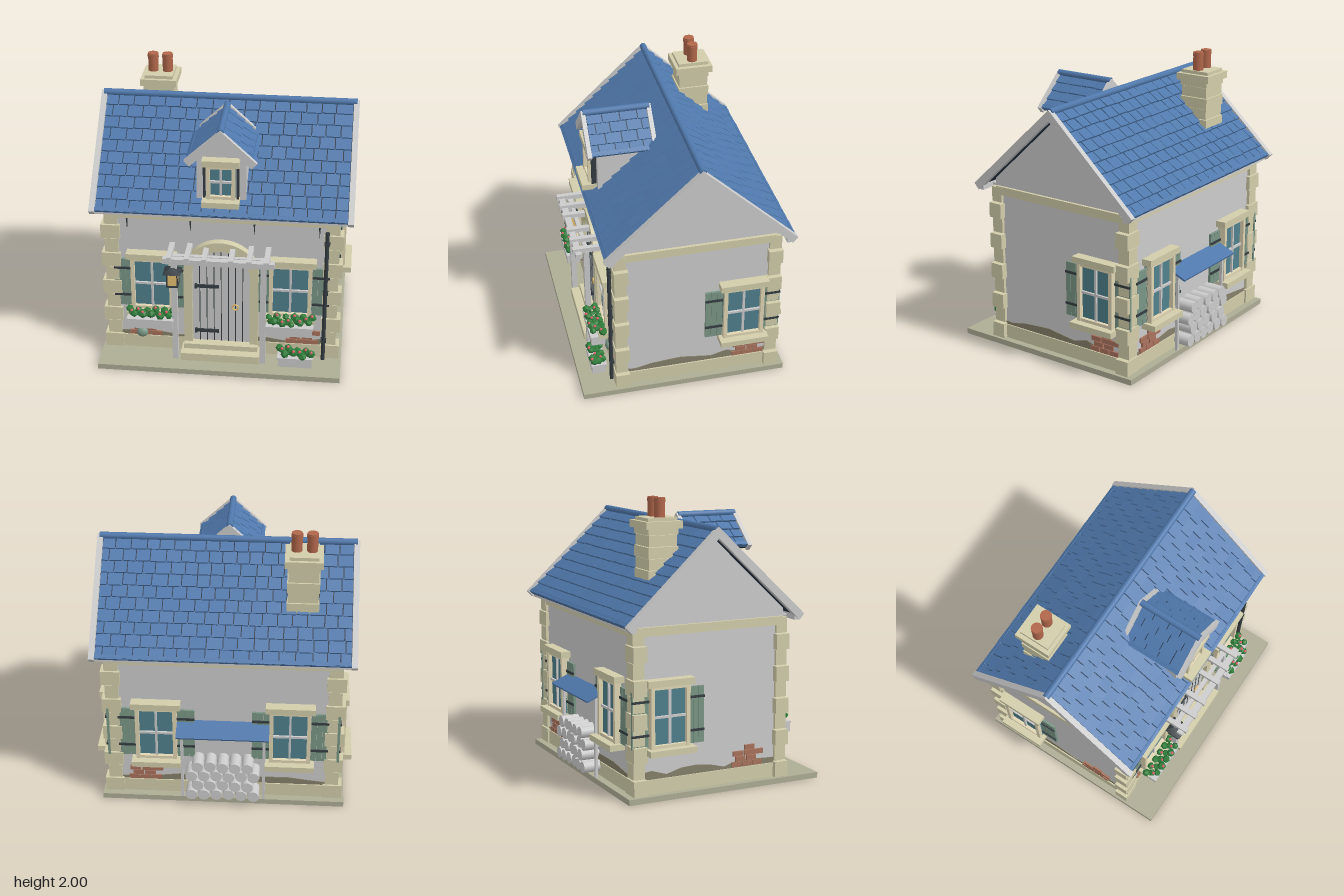
import * as THREE from 'three';
import { mergeGeometries } from 'three/addons/utils/BufferGeometryUtils.js';

const GREY = 0xcccccc, STONE = 0xd2cdaa, SLAB = 0xaeac94, BLUE = 0x4f78ab, NAVY = 0x263344, GLASS = 0x4f808c;
const FRAME = 0xe0d6b4, GREEN = 0x7a9686, DARK = 0x343c40, BRICK = 0xa8725c, POT = 0xb0664a, DIRT = 0x85806a;
const LEAF = 0x2f7d3a, RED = 0xd8606a, LAMP = 0xe6c070;
const WALL_X = 0.8, FRONT = 0.5, BACK = -0.63, MID = -0.065;

let seed = 7;
const rnd = () => ((seed = (seed * 16807) % 2147483647) / 2147483647);
const mats = {};
const mat = (c) => (mats[c] ??= new THREE.MeshStandardMaterial({ color: c }));

function add(parent, name, geo, color, x = 0, y = 0, z = 0) {
  const m = new THREE.Mesh(geo, mat(color));
  m.name = name;
  m.position.set(x, y, z);
  parent.add(m);
  return m;
}
const box = (p, name, c, w, h, d, x, y, z) => add(p, name, new THREE.BoxGeometry(w, h, d), c, x, y, z);
// Box given by its limits on each axis
const span = (p, name, c, x0, x1, y0, y1, z0, z1) =>
  box(p, name, c, x1 - x0, y1 - y0, z1 - z0, (x0 + x1) / 2, (y0 + y1) / 2, (z0 + z1) / 2);
const cyl = (p, name, c, r, h, x, y, z, n = 16) => add(p, name, new THREE.CylinderGeometry(r, r, h, n), c, x, y, z);
function group(parent, name, x = 0, y = 0, z = 0, ry = 0) {
  const g = new THREE.Group();
  g.name = name;
  g.position.set(x, y, z);
  g.rotation.y = ry;
  parent.add(g);
  return g;
}
const polygon = (pts) => new THREE.Shape(pts.map(([x, y]) => new THREE.Vector2(x, y)));
const extrude = (shape, depth) => new THREE.ExtrudeGeometry(shape, { depth, bevelEnabled: false, curveSegments: 16 });

// Gabled roof, ridge along local x, centred on the ridge at its origin
function roof(parent, name, half, run, drop, rows, cols, trim, x, y, z, ry) {
  const g = group(parent, name, x, y, z, ry);
  const len = Math.hypot(run, drop), pitch = len / rows, w = (2 * half) / cols;
  for (const turn of [0, Math.PI]) {
    const side = group(g, 'roofSide', 0, 0, 0, turn);
    const slope = group(side, 'slope');
    slope.rotation.x = Math.atan2(drop, run);
    box(slope, 'roofDeck', NAVY, 2 * half, 0.022, len, 0, -0.02, len / 2);
    const tiles = [];
    for (let r = 0; r < rows; r++) {
      let x0 = -half;
      for (let i = 0; x0 < half - 0.005; i++) {
        const wide = i === 0 && r % 2 ? w / 2 : w * (0.85 + 0.3 * rnd());
        const x1 = half - x0 - wide < w * 0.3 ? half : x0 + wide;
        const t = new THREE.BoxGeometry(x1 - x0 - 0.007, 0.014, pitch * (1.04 + 0.1 * rnd()));
        t.rotateZ((rnd() - 0.5) * 0.06).rotateX(-0.14 - 0.05 * rnd());
        tiles.push(t.translate((x0 + x1) / 2, 0.002, (r + 0.5) * pitch));
        x0 = x1;
      }
    }
    add(slope, 'roofTiles', mergeGeometries(tiles), BLUE);
    box(slope, 'eaveStrip', BLUE, 2 * (half + trim * 0.5), 0.03, 0.03, 0, 0, len - 0.01);
    for (const s of [-1, 1]) box(slope, 'bargeBoard', GREY, trim, 0.055, len + 0.03, s * (half + trim / 2), -0.01, len / 2);
  }
  cyl(g, 'ridgeRoll', BLUE, 0.024, 2 * (half + trim * 0.6), 0, 0.008, 0, 12).rotation.z = Math.PI / 2;
}

// Window with its base at the origin, facing local +z
function windowUnit(parent, name, w, h, shutters, x, y, z, ry) {
  const g = group(parent, name, x, y, z, ry), a = w / 2, f = 0.027, d = 0.06;
  span(g, 'glass', GLASS, -a, a, 0, h, 0, 0.03);
  for (const s of [-1, 1]) {
    box(g, 'windowJamb', FRAME, f, h, d, s * (a - f / 2), h / 2, d / 2);
    box(g, 'windowRail', FRAME, w - 2 * f, f * 0.8, d - 0.008, 0, s < 0 ? f * 0.4 : h - f * 0.4, d / 2);
  }
  box(g, 'mullion', GREY, 0.016, h, 0.02, 0, h / 2, 0.035);
  box(g, 'crossBar', GREY, w - 2 * f, 0.016, 0.02, 0, h / 2, 0.035);
  span(g, 'lintel', STONE, -a - 0.028, a + 0.028, h, h + 0.045, -0.02, 0.075);
  span(g, 'sill', STONE, -a - 0.028, a + 0.028, -0.042, 0, -0.02, 0.11);
  if (!shutters) return;
  for (const s of [-1, 1]) {
    const sh = group(g, 'shutter', s * (a + 0.062), 0, 0);
    for (const i of [-1, 0, 1]) box(sh, 'shutterBoard', GREEN, 0.039, h - 0.03, 0.018, i * 0.041, h / 2 - 0.015, 0.01);
    for (const v of [0.09, h - 0.1]) box(sh, 'shutterStrap', DARK, 0.124, 0.016, 0.012, 0, v, 0.022);
  }
}

// Trough filled with leaves and blossoms
function planter(parent, name, x, y, z, w) {
  const g = group(parent, name, x, y, z), leaves = [], blooms = [];
  box(g, 'trough', GREY, w, 0.075, 0.1, 0, 0.0375, 0);
  box(g, 'troughRim', GREY, w + 0.015, 0.014, 0.112, 0, 0.07, 0);
  const n = Math.round(w / 0.02);
  for (let i = 0; i < n; i++) {
    const px = (i / (n - 1) - 0.5) * (w - 0.01), pz = (i % 3 - 1) * 0.034;
    const r = 0.024 + rnd() * 0.01, py = 0.085 + rnd() * 0.032;
    leaves.push(new THREE.IcosahedronGeometry(r, 0).rotateY(rnd() * 3).translate(px, py, pz));
    if (i % 2) blooms.push(new THREE.IcosahedronGeometry(0.011, 1).translate(px, py + r * 0.7, pz + 0.014));
  }
  add(g, 'leaves', mergeGeometries(leaves), LEAF);
  add(g, 'blossoms', mergeGeometries(blooms), RED);
}

// Bricks showing through the plaster, centred on the origin's foot
function brickPatch(parent, x, z, ry) {
  const g = group(parent, 'brickPatch', x, 0.145, z, ry);
  [[-0.08, 0, 0.08], [-0.05, 0.035], [-0.07, 0.015, 0.09], [0.02]].forEach((row, r) =>
    row.forEach((u) => box(g, 'brick', BRICK, 0.075, 0.034, 0.02, u, 0.017 + r * 0.038, 0.004)));
}

// Jagged stain along the foot of a wall
function stain(parent, w, x, z, ry) {
  const pts = [[-w / 2, 0], [w / 2, 0]];
  for (let i = 0; i <= 10; i++) pts.push([w / 2 - (i * w) / 10, 0.02 + rnd() * 0.045]);
  add(group(parent, 'wallStain', x, 0.135, z, ry), 'stain', extrude(polygon(pts), 0.006), DIRT);
}

function archShape(a, y0, spring, rise) {
  const s = new THREE.Shape();
  s.moveTo(-a, y0).lineTo(a, y0).lineTo(a, spring);
  s.absellipse(0, spring, a, rise, 0, Math.PI, false, 0);
  return s.lineTo(-a, y0);
}

export function createModel() {
  const house = new THREE.Group();
  house.name = 'cottage';
  const P = Math.PI;

  // Ground slab, plinth and gabled walls
  span(house, 'groundSlab', SLAB, -0.865, 0.865, 0, 0.04, -0.7, 0.765);
  span(house, 'plinth', STONE, -0.815, 0.815, 0.04, 0.14, BACK - 0.014, FRONT + 0.014);
  const walls = add(house, 'walls', extrude(polygon([[BACK, 0.04], [FRONT, 0.04], [FRONT, 1.23], [MID, 1.755], [BACK, 1.23]]), 2 * WALL_X), GREY, WALL_X);
  walls.rotation.y = -P / 2;

  // Corner stones
  for (const sx of [-1, 1]) for (const sz of [-1, 1]) for (let i = 0; i < 10; i++) {
    const long = i % 2 === 0, h = 0.113;
    const w = (long ? 0.135 : 0.095), d = long ? 0.1 : 0.085;
    box(house, 'cornerStone', STONE, w, h - 0.006, d, sx * ((long ? 0.848 : 0.822) - w / 2), 0.04 + (i + 0.5) * h, MID + sz * ((long ? 0.592 : 0.586) - d / 2));
  }

  // Bands below the eaves and gables
  for (const s of [-1, 1]) {
    box(house, 'wallBand', STONE, 1.62, 0.04, 0.03, 0, 1.135, MID + s * 0.57);
    box(house, 'gableBand', STONE, 0.03, 0.06, 1.1, s * 0.805, 1.145, MID);
    box(house, 'fascia', GREY, 1.8, 0.045, 0.03, 0, 1.18, MID + s * 0.61);
    box(house, 'soffit', GREY, 1.6, 0.015, 0.08, 0, 1.18, MID + s * 0.58);
  }
  for (const x of [-0.66, -0.215, 0.23, 0.68])
    add(house, 'eaveSpike', new THREE.ConeGeometry(0.008, 0.11, 6), DARK, x, 1.07, FRONT + 0.012).rotation.x = P;
  roof(house, 'mainRoof', 0.87, 0.645, 0.6, 10, 17, 0.04, 0, 1.795, MID, 0);

  // Dormer
  const dormer = group(house, 'dormer');
  add(dormer, 'dormerWalls', extrude(polygon([[-0.17, 1.27], [0.17, 1.27], [0.17, 1.62], [0, 1.775], [-0.17, 1.62]]), 0.4), GREY, 0, 0, 0.095);
  roof(dormer, 'dormerRoof', 0.215, 0.225, 0.21, 4, 4, 0.03, 0, 1.81, 0.325, P / 2);
  windowUnit(dormer, 'dormerWindow', 0.2, 0.25, false, 0, 1.31, 0.49, 0);
  for (const s of [-1, 1]) box(dormer, 'dormerCorner', DARK, 0.015, 0.25, 0.04, s * 0.115, 1.435, 0.51);

  // Chimney
  const ch = group(house, 'chimney', -0.53, 0, -0.338);
  for (let i = 0; i < 5; i++) {
    const w = i % 2 ? 0.208 : 0.222;
    box(ch, 'chimneyCourse', STONE, w, 0.075, w, 0, 1.48 + i * 0.078, 0);
  }
  span(ch, 'chimneyCollar', STONE, -0.13, 0.13, 1.795, 1.845, -0.135, 0.135);
  span(ch, 'chimneyCap', STONE, -0.1, 0.1, 1.845, 1.868, -0.11, 0.11);
  for (const s of [-1, 1]) {
    cyl(ch, 'chimneyPot', POT, 0.037, 0.132, s * 0.052, 1.934, 0, 20);
    cyl(ch, 'potRim', POT, 0.04, 0.02, s * 0.052, 1.98, 0, 20);
  }

  // Windows, bricks and stains on every wall
  for (const s of [-1, 1]) {
    windowUnit(house, 'frontWindow', 0.3, 0.41, true, s * 0.49, 0.4, FRONT, 0);
    windowUnit(house, 'backWindow', 0.29, 0.42, true, s * 0.47, 0.36, BACK, P);
    windowUnit(house, 'sideWindow', 0.29, 0.42, true, s * WALL_X, 0.36, -0.39, s * P / 2);
    stain(house, 1.1, s * WALL_X, MID, s * P / 2);
  }
  stain(house, 1.56, 0, FRONT, 0);
  stain(house, 1.56, 0, BACK, P);
  brickPatch(house, -0.55, FRONT, 0);
  brickPatch(house, 0.58, FRONT, 0);
  brickPatch(house, 0.56, BACK, P);
  brickPatch(house, WALL_X, -0.44, P / 2);
  brickPatch(house, -WALL_X, 0.22, -P / 2);

  // Arched door and steps
  const door = group(house, 'door', 0, 0, FRONT);
  const surround = archShape(0.265, 0.04, 0.72, 0.25);
  surround.holes.push(archShape(0.205, 0.05, 0.7, 0.2));
  add(door, 'doorSurround', extrude(surround, 0.055), STONE);
  add(door, 'doorLeaf', extrude(archShape(0.205, 0.05, 0.7, 0.2), 0.025), GREY);
  for (let i = -3; i <= 3; i++) {
    const x = i * 0.051, top = 0.7 + 0.2 * Math.sqrt(1 - (x / 0.205) ** 2);
    span(door, 'plankGap', DARK, x - 0.003, x + 0.003, 0.14, top, 0.02, 0.028);
  }
  for (const y of [0.225, 0.6]) {
    box(door, 'hinge', DARK, 0.165, 0.024, 0.012, -0.1, y, 0.032);
    box(door, 'hingePin', DARK, 0.016, 0.034, 0.02, -0.18, y, 0.034);
  }
  add(door, 'handleRing', new THREE.TorusGeometry(0.021, 0.006, 8, 20), LAMP, 0.102, 0.44, 0.04);
  span(door, 'lowerStep', STONE, -0.28, 0.28, 0.04, 0.1, 0, 0.155);
  span(door, 'upperStep', STONE, -0.265, 0.265, 0.1, 0.14, 0, 0.09);

  // Pergola and lantern
  const pergola = group(house, 'pergola');
  for (const x of [-0.32, 0.305]) span(pergola, 'pergolaPost', GREY, x - 0.02, x + 0.02, 0.04, 0.9, 0.6, 0.64);
  span(pergola, 'frontBeam', GREY, -0.39, 0.385, 0.87, 0.91, 0.66, 0.705);
  span(pergola, 'rearBeam', GREY, -0.36, 0.355, 0.87, 0.9, 0.605, 0.635);
  for (const x of [-0.345, -0.22, -0.1, 0.085, 0.21, 0.33]) span(pergola, 'pergolaSlat', GREY, x - 0.018, x + 0.018, 0.893, 0.93, 0.5, 0.72);
  const lamp = group(house, 'lantern', -0.33, 0, 0.625);
  box(lamp, 'lanternGlass', LAMP, 0.07, 0.1, 0.07, 0, 0.715, 0);
  box(lamp, 'lanternBase', DARK, 0.084, 0.012, 0.084, 0, 0.662, 0);
  for (const a of [-1, 1]) for (const b of [-1, 1]) box(lamp, 'lanternBar', DARK, 0.009, 0.105, 0.009, a * 0.036, 0.715, b * 0.036);
  add(lamp, 'lanternRoof', new THREE.ConeGeometry(0.088, 0.045, 4, 1).rotateY(P / 4), DARK, 0, 0.79, 0);

  // Planters and round shrubs
  planter(house, 'leftWindowBox', -0.495, 0.3, 0.612, 0.32);
  planter(house, 'rightWindowBox', 0.495, 0.3, 0.612, 0.32);
  planter(house, 'groundPlanter', 0.54, 0.04, 0.615, 0.24);
  for (const [x, y] of [[-0.54, 0.25], [-0.575, 0.18], [0.61, 0.25]])
    add(house, 'shrub', new THREE.SphereGeometry(0.042, 16, 12).scale(1, 0.9, 0.7), GREEN, x, y, 0.53);

  // Drainpipe
  cyl(house, 'drainpipe', DARK, 0.014, 1.05, 0.735, 0.565, 0.54, 12);
  for (const y of [0.2, 0.6, 1.0]) box(house, 'pipeClip', DARK, 0.04, 0.02, 0.045, 0.735, y, 0.53);

  // Log store behind the house
  const store = group(house, 'logStore');
  const awning = box(store, 'awning', BLUE, 0.65, 0.014, 0.155, 0, 0.625, -0.695);
  awning.rotation.x = -0.42;
  for (const s of [-1, 1]) span(store, 'awningPost', GREY, s * 0.29 - 0.01, s * 0.29 + 0.01, 0, 0.61, -0.698, -0.678);
  for (let r = 0; r < 4; r++) for (let i = 0; i < 6 - (r % 2); i++) {
    const len = 0.13 + rnd() * 0.015;
    const log = cyl(store, 'log', GREY, 0.042, len, (i - (5 - (r % 2)) / 2) * 0.088, 0.105 + r * 0.08, -0.62 - len / 2, 12);
    log.rotation.x = P / 2;
  }
  return house;
}
